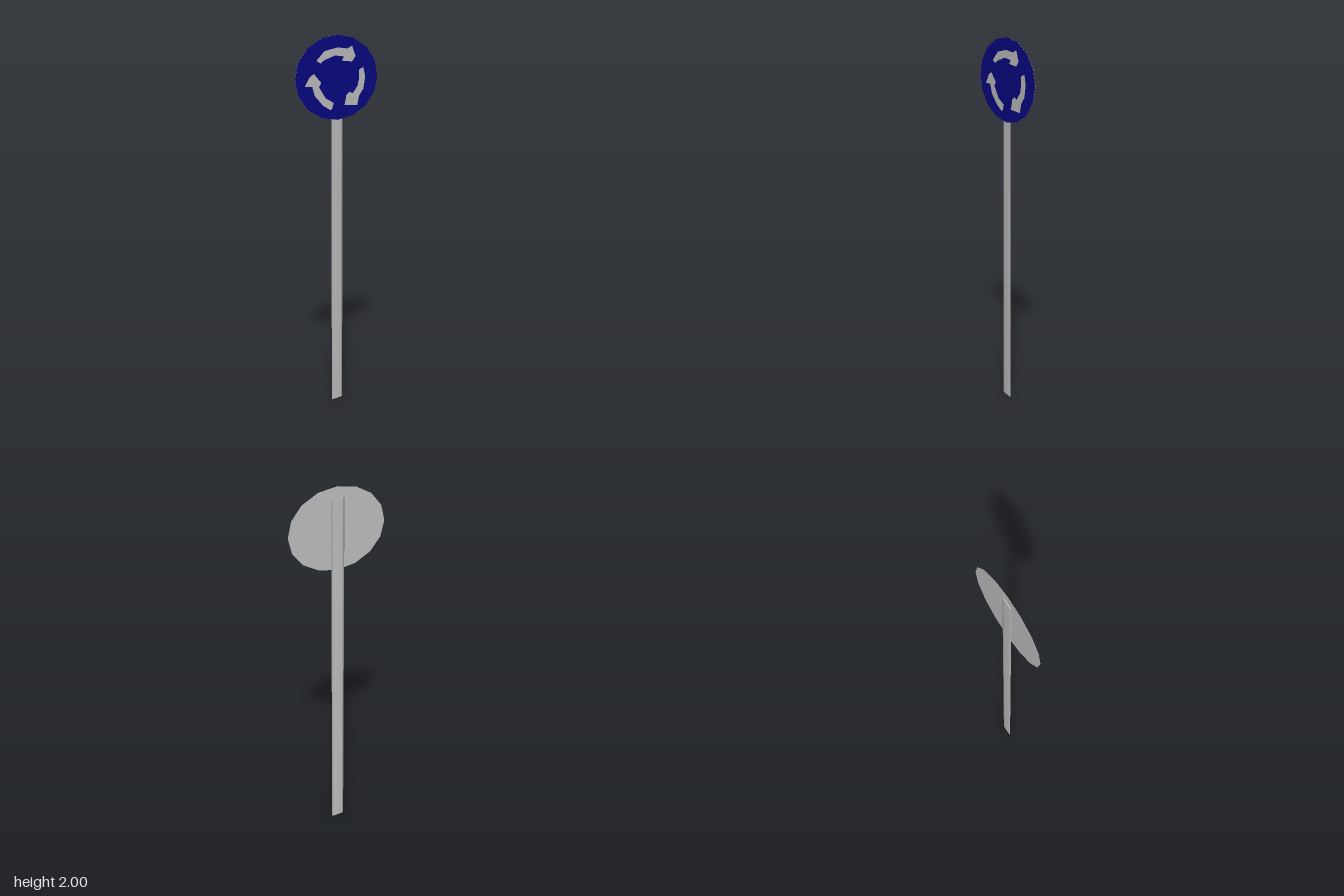
import * as THREE from 'three';

const CENTRE_Y = 1.784;

export function createModel() {
  const sign = new THREE.Group();
  sign.name = 'roundaboutSign';

  const grey = new THREE.MeshStandardMaterial({ color: 0xc0c0c0 });
  grey.name = 'light grey';
  const blue = new THREE.MeshStandardMaterial({ color: 0x080884 });
  blue.name = 'navy blue';

  const add = (name, geometry, material, x, y, z) => {
    const mesh = new THREE.Mesh(geometry, material);
    mesh.name = name;
    mesh.position.set(x, y, z);
    sign.add(mesh);
  };

  // Flattened post, running up behind the plate
  const post = new THREE.CylinderGeometry(0.037, 0.037, 1.94, 8);
  post.scale(1, 1, 0.0025 / 0.037);
  add('post', post, grey, -0.001, 0.97, -0.002);

  // Oval sixteen-sided plate: blue front, grey rim and back
  const plate = new THREE.CylinderGeometry(1, 1, 0.001, 16);
  plate.rotateX(Math.PI / 2);
  plate.scale(0.27, 0.216, 1);
  add('signPlate', plate, [grey, blue, grey], 0, CENTRE_Y, 0.001);

  // Three curved arrows chasing each other clockwise, as thin faces
  const arrows = {
    topArrow: [
      [-0.137, 0.09], [-0.085, 0.137], [0, 0.153], [0.063, 0.146], [0.095, 0.16], [0.118, 0.106],
      [0.095, 0.079], [0.026, 0.086], [0.042, 0.106], [-0.016, 0.113], [-0.085, 0.092], [-0.111, 0.076],
    ],
    rightArrow: [
      [0.143, 0.037], [0.172, 0.048], [0.185, 0], [0.174, -0.063], [0.143, -0.1], [0.132, -0.148],
      [0.045, -0.143], [0.058, -0.09], [0.079, -0.074], [0.1, -0.085], [0.132, -0.048], [0.143, -0.01],
    ],
    leftArrow: [
      [-0.037, -0.158], [-0.026, -0.127], [-0.079, -0.1], [-0.121, -0.042], [-0.106, -0.021], [-0.153, 0.026],
      [-0.18, 0.01], [-0.211, -0.037], [-0.164, -0.037], [-0.148, -0.085], [-0.095, -0.137], [-0.048, -0.163],
    ],
  };
  for (const [name, points] of Object.entries(arrows)) {
    const shape = new THREE.Shape(points.map(([x, y]) => new THREE.Vector2(x, y)));
    add(name, new THREE.ShapeGeometry(shape), grey, 0, CENTRE_Y, 0.0025);
  }

  return sign;
}
